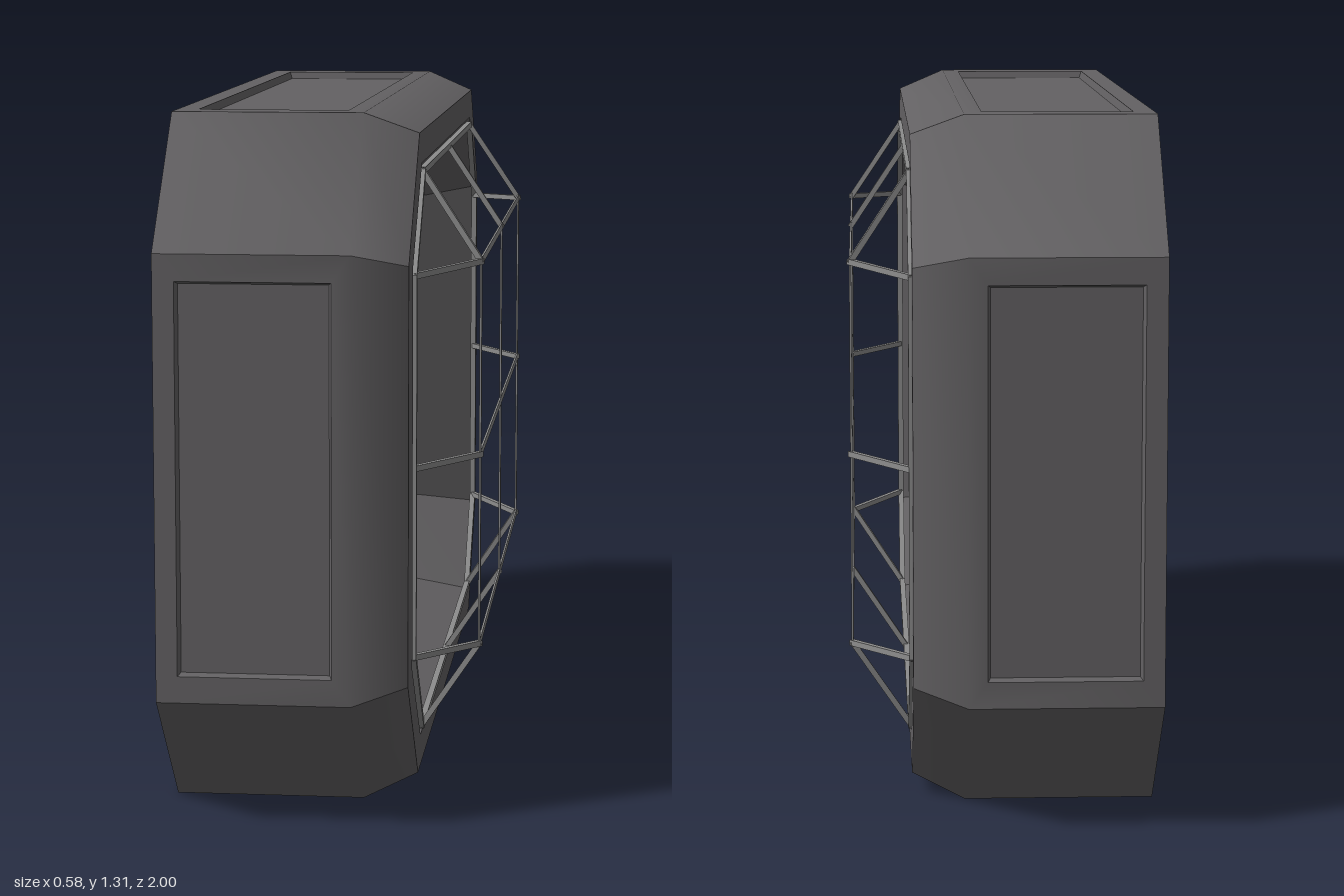
import * as THREE from 'three';
import { toCreasedNormals } from 'three/addons/utils/BufferGeometryUtils.js';

const CY = 0.655; // height of the centre line

// Octagon facing +x: half width, half height, half length of upright and level edges
function octagon(x, hw, hh, a, b) {
  return [[hw, -a], [hw, a], [b, hh], [-b, hh], [-hw, a], [-hw, -a], [-b, -hh], [b, -hh]]
    .map(([u, v]) => new THREE.Vector3(x, CY + v, -u));
}

function quad(out, a, b, c, d) {
  out.push(a, b, c, a, c, d);
}

// Joins two loops with quads, leaving out the sides that skip() picks
function band(out, A, B, skip = () => false) {
  A.forEach((p, i) => {
    const j = (i + 1) % A.length;
    if (!skip(i)) quad(out, p, A[j], B[j], B[i]);
  });
}

function cap(out, loop) {
  for (let i = 1; i < loop.length - 1; i++) out.push(loop[0], loop[i], loop[i + 1]);
}

function makeMesh(name, points, material) {
  const geometry = new THREE.BufferGeometry().setFromPoints(points);
  const mesh = new THREE.Mesh(toCreasedNormals(geometry, 0.66), material);
  mesh.name = name;
  return mesh;
}

// Square or flat bar between two points
function bar(name, from, to, width, thick, material) {
  const a = new THREE.Vector3(...from), b = new THREE.Vector3(...to);
  const mesh = new THREE.Mesh(new THREE.BoxGeometry(thick, width, a.distanceTo(b) + 0.006), material);
  mesh.position.copy(a).add(b).multiplyScalar(0.5);
  if (Math.abs(b.z - a.z) < 1e-4) mesh.up.set(0, 0, 1);
  mesh.lookAt(b);
  mesh.name = name;
  return mesh;
}

export function createModel() {
  const model = new THREE.Group();
  model.name = 'floodlight';
  const housingGrey = new THREE.MeshStandardMaterial({ color: 0x636163 });
  housingGrey.name = 'housing grey';
  const lampGrey = new THREE.MeshStandardMaterial({ color: 0xcccccc });
  lampGrey.name = 'lamp light grey';
  const wireGrey = new THREE.MeshStandardMaterial({ color: 0x8c8c8c });
  wireGrey.name = 'wire grey';

  // Loops of the housing from the back to the bottom of the recess
  const back = octagon(-0.29, 1, 0.655, 0.415, 0.76);
  const shoulder = octagon(0.07, 1, 0.655, 0.415, 0.76);
  const rim = octagon(0.17, 0.94, 0.615, 0.39, 0.715);
  const opening = octagon(0.17, 0.85, 0.555, 0.38, 0.66);
  const floor = octagon(0.02, 0.79, 0.52, 0.355, 0.625);

  const body = [];
  cap(body, [...back].reverse());
  band(body, back, shoulder, i => i % 2 === 0);
  band(body, shoulder, rim);
  band(body, rim, opening);

  // Sunken rectangular panel in each of the four flat sides
  for (let i = 0; i < 8; i += 2) {
    const outer = [back[i], back[i + 1], shoulder[i + 1], shoulder[i]];
    const mid = back[i].clone().add(back[i + 1]).multiplyScalar(0.5);
    const along = back[i + 1].clone().sub(back[i]);
    const half = along.length() / 2 - (i % 4 === 0 ? 0.05 : 0.07);
    along.normalize();
    const inward = new THREE.Vector3(0, CY - mid.y, -mid.z).normalize();
    const rect = (inset, depth) => [[-1, -0.25], [1, -0.25], [1, 0.035], [-1, 0.035]].map(([s, x]) => {
      const p = mid.clone().addScaledVector(along, s * (half - inset)).addScaledVector(inward, depth);
      p.x = x + (x < 0 ? inset : -inset);
      return p;
    });
    const edge = rect(0, 0), bottom = rect(0.005, 0.015);
    band(body, outer, edge);
    band(body, edge, bottom);
    cap(body, bottom);
  }
  model.add(makeMesh('housing', body, housingGrey));

  // Recess walls and bright lamp face
  const walls = [];
  band(walls, opening, floor);
  model.add(makeMesh('recessWalls', walls, housingGrey));
  const face = [];
  cap(face, floor);
  model.add(makeMesh('lampFace', face, lampGrey));

  // Wire guard: ring, raised grid and legs
  const guard = new THREE.Group();
  guard.name = 'wireGuard';
  const add = (name, a, b, w, t) => guard.add(bar(name, a, b, w, t, wireGrey));
  const ring = octagon(0.17, 0.83, 0.54, 0.36, 0.645);
  ring.forEach((p, i) => add('guardRing', p.toArray(), ring[(i + 1) % 8].toArray(), 0.012, 0.012));
  const X0 = 0.17, X1 = 0.283, Z = 0.66, H = 0.37;
  for (const s of [-1, 0, 1]) {
    add('guardUpright', [X1, CY - H, s * Z], [X1, CY + H, s * Z], 0.014, 0.004);
    add('guardCrossbar', [X1, CY + s * H, -Z], [X1, CY + s * H, Z], 0.014, 0.004);
    for (const t of [-1, 1]) {
      add('guardSideLeg', [X0, CY + s * 0.36, t * 0.83], [X1, CY + s * H, t * Z], 0.011, 0.011);
      add('guardEndLeg', [X0, CY + t * 0.54, s * 0.645], [X1, CY + t * H, s * Z], 0.011, 0.011);
    }
  }
  model.add(guard);
  return model;
}
